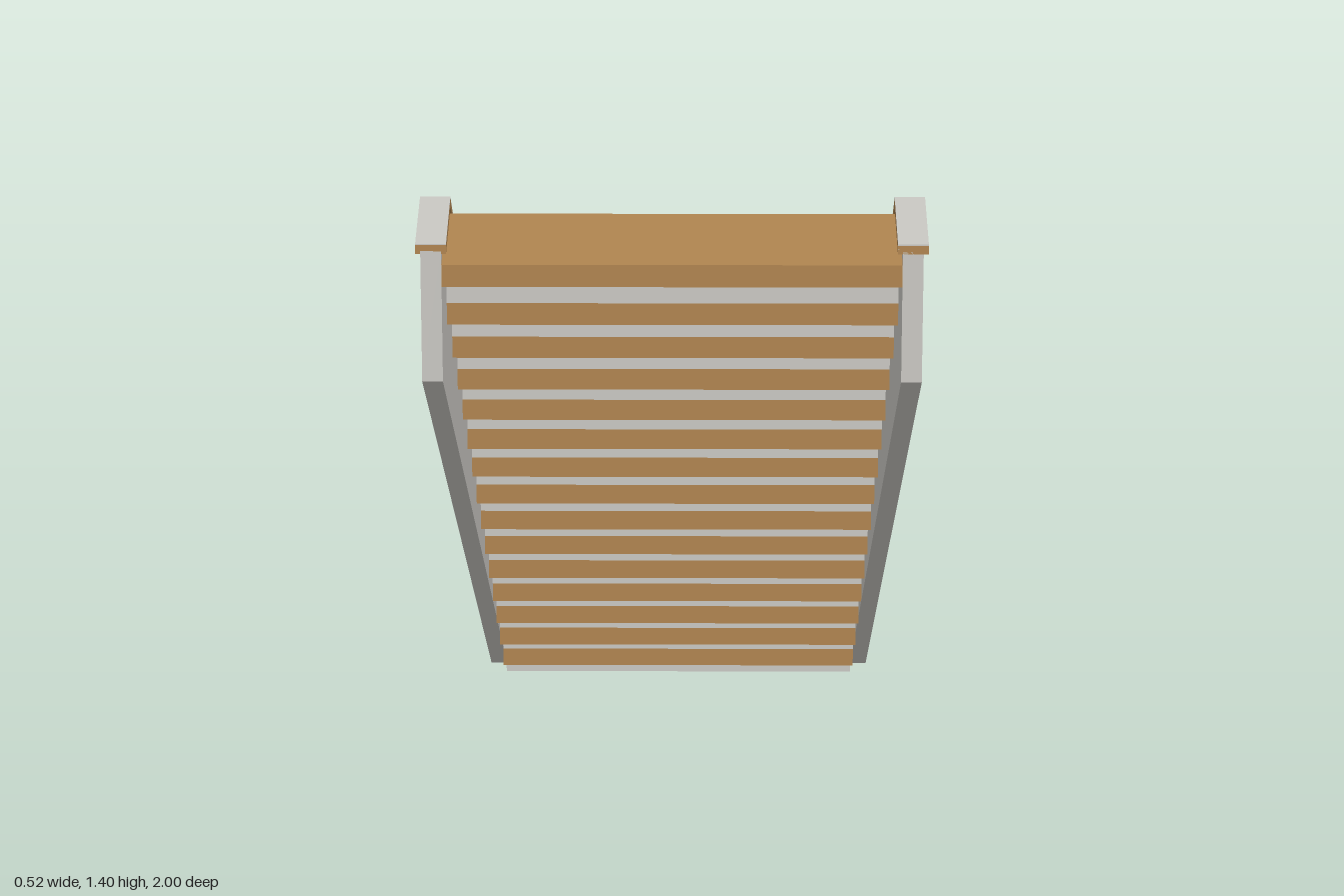
import * as THREE from 'three';

const STEPS = 15, RISE = 0.0916, GOING = 0.1327;
const TREAD_THICK = 0.024, HALF_WIDTH = 0.232;

// Extrude a [z, y] outline to the given width, centred on x = 0
function sideProfile(points, width) {
  const shape = new THREE.Shape(points.map(([z, y]) => new THREE.Vector2(z, y)));
  const geo = new THREE.ExtrudeGeometry(shape, { depth: width, bevelEnabled: false });
  geo.translate(0, 0, -width / 2);
  geo.rotateY(-Math.PI / 2);
  return geo;
}

export function createModel() {
  const group = new THREE.Group();
  const wood = new THREE.MeshStandardMaterial({ color: 0xb08550 });
  wood.name = 'wood';
  const paint = new THREE.MeshStandardMaterial({ color: 0xcac8c3 });
  paint.name = 'palePaint';

  const add = (name, geo, mat, x = 0, y = 0, z = 0) => {
    const mesh = new THREE.Mesh(geo, mat);
    mesh.name = name;
    mesh.position.set(x, y, z);
    group.add(mesh);
  };

  // Treads with a small nosing, and the risers below them
  for (let i = 0; i < STEPS; i++) {
    const top = 0.095 + i * RISE;
    const nose = -1 + i * GOING;
    const end = Math.min(nose + GOING + 0.018, 1);
    add('tread', new THREE.BoxGeometry(HALF_WIDTH * 2, TREAD_THICK, end - nose), wood,
      0, top - TREAD_THICK / 2, (nose + end) / 2);
    const low = i === 0 ? 0 : top - RISE;
    const high = top - TREAD_THICK;
    add('riser', new THREE.BoxGeometry(HALF_WIDTH * 2, high - low, 0.012), paint,
      0, (low + high) / 2, nose + 0.012);
  }

  // Top edge of each side, lowered by d
  const upper = (d) => [[1, 1.4 - d], [0.868, 1.4 - d], [-1, 0.112 - d]];
  const stringer = sideProfile([[-1, 0.004], [1, 1.25], ...upper(0.008)], 0.021);
  const cap = sideProfile([...upper(0.0015), ...upper(0.011).reverse()], 0.031);
  // Painted skin over the cap's top and its two ends
  const skin = sideProfile([
    ...upper(0), [-1, 0.101], [-0.998, 0.1024],
    [-0.998, 0.1119], [0.868, 1.3985], [0.998, 1.3985], [0.998, 1.389], [1, 1.389],
  ], 0.031);

  for (const [side, s] of [['left', 1], ['right', -1]]) {
    add(side + 'Stringer', stringer, paint, s * 0.2425);
    add(side + 'Cap', cap, wood, s * 0.2425);
    add(side + 'CapSkin', skin, paint, s * 0.2425);
  }
  return group;
}
